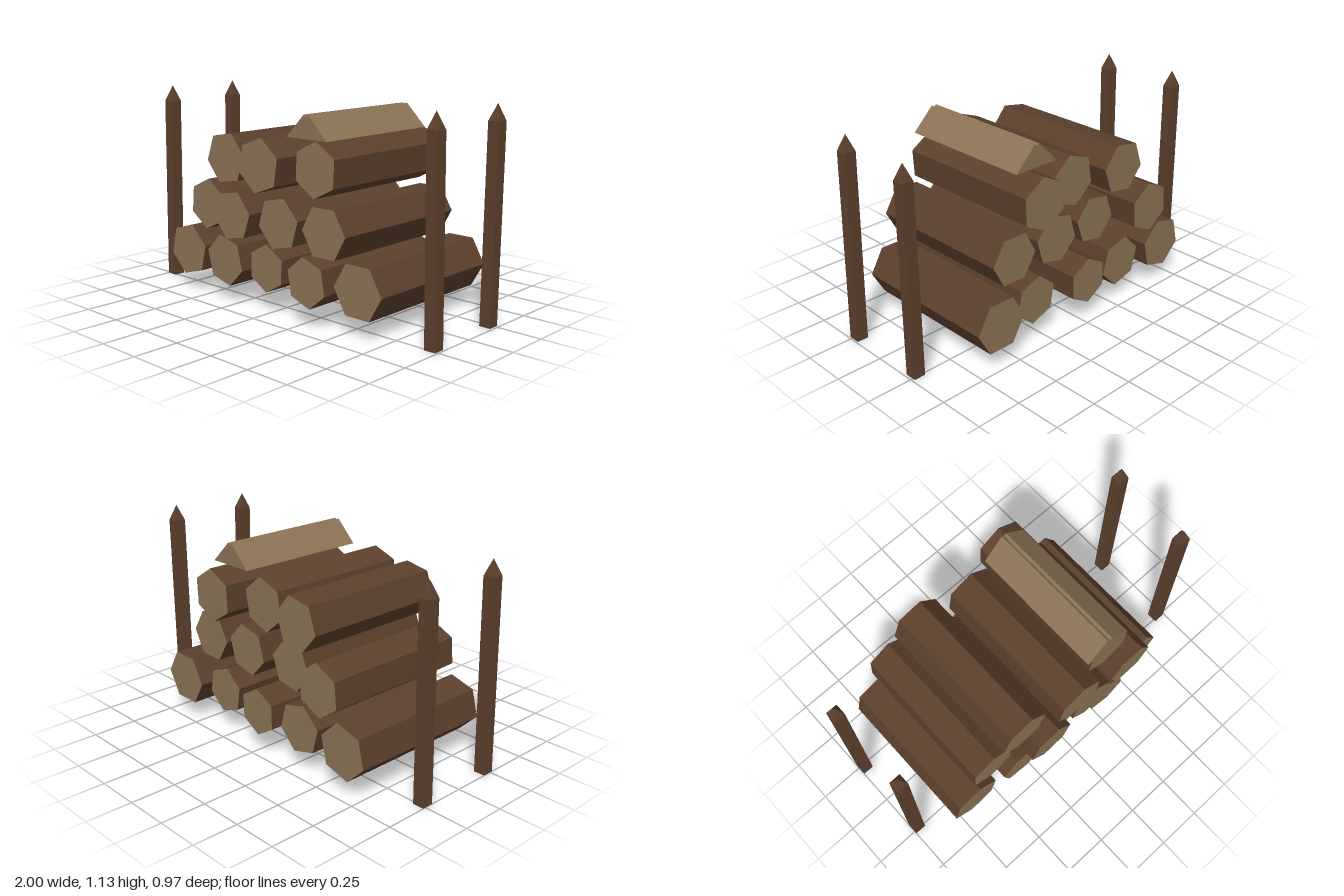
import * as THREE from 'three';

const bark = new THREE.MeshStandardMaterial({ color: 0x5c402d, flatShading: true });
bark.name = 'bark brown';
const cutWood = new THREE.MeshStandardMaterial({ color: 0x8b7355, flatShading: true });
cutWood.name = 'cut wood';

const LOG_LENGTH = 0.855;

// Hexagonal log along z, with pale sawn ends
function makeLog([x, y, radius, turn, frontZ]) {
  const geo = new THREE.CylinderGeometry(radius, radius, LOG_LENGTH, 6);
  geo.rotateX(Math.PI / 2);
  geo.rotateZ(THREE.MathUtils.degToRad(turn - 30));
  const log = new THREE.Mesh(geo, [bark, cutWood, cutWood]);
  log.name = 'log';
  log.position.set(x, y, frontZ - LOG_LENGTH / 2);
  return log;
}

// Square post with a pointed top, leaning slightly sideways
function makeStake(bottomX, topX, z) {
  const stake = new THREE.Group();
  stake.name = 'stake';
  const r = 0.064 / Math.SQRT2;
  const bodyHeight = 1.045, tipHeight = 0.087;
  const body = new THREE.Mesh(
    new THREE.CylinderGeometry(r, r, bodyHeight, 4).rotateY(Math.PI / 4).translate(0, bodyHeight / 2, 0), bark);
  body.name = 'stakePost';
  const tip = new THREE.Mesh(
    new THREE.ConeGeometry(r, tipHeight, 4, 1, true).rotateY(Math.PI / 4).translate(0, bodyHeight + tipHeight / 2, 0), bark);
  tip.name = 'stakePoint';
  stake.add(body, tip);
  stake.position.set(bottomX, 0, z);
  stake.rotation.z = -Math.atan2(topX - bottomX, bodyHeight);
  return stake;
}

export function createModel() {
  const model = new THREE.Group();
  model.name = 'woodpile';

  // Each log: x, y, radius, turn in degrees, z of the front end
  const rows = {
    bottomRow: [
      [-0.645, 0.235, 0.151, 16, 0.39],
      [-0.315, 0.235, 0.142, 45, 0.41],
      [-0.024, 0.238, 0.131, 29, 0.38],
      [0.313, 0.238, 0.134, 40, 0.43],
      [0.604, 0.238, 0.152, 0, 0.375],
    ],
    middleRow: [
      [-0.495, 0.516, 0.143, 25, 0.37],
      [-0.174, 0.516, 0.138, 10, 0.48],
      [0.144, 0.518, 0.142, 13, 0.455],
      [0.447, 0.516, 0.142, 1, 0.447],
    ],
    topRow: [
      [-0.302, 0.797, 0.145, 10, 0.405],
      [0.017, 0.8, 0.147, 20, 0.468],
      [0.318, 0.8, 0.146, 27, 0.37],
    ],
  };
  for (const [name, logs] of Object.entries(rows)) {
    const row = new THREE.Group();
    row.name = name;
    logs.forEach((l) => row.add(makeLog(l)));
    model.add(row);
  }

  // Split piece lying on top: a wedge with a small notch along its ridge
  const profile = new THREE.Shape([
    [0.142, 0.952], [0.414, 0.952], [0.291, 1.073], [0.278, 1.06], [0.263, 1.073],
  ].map(([x, y]) => new THREE.Vector2(x, y)));
  const splitGeo = new THREE.ExtrudeGeometry(profile, { depth: 0.776, bevelEnabled: false });
  splitGeo.translate(0, 0, -0.388);
  const split = new THREE.Mesh(splitGeo, cutWood);
  split.name = 'splitLog';
  model.add(split);

  // Corner stakes: bottom x, top x, z
  [
    [-0.968, -0.95, 0.232],
    [-0.968, -0.955, -0.235],
    [0.96, 0.945, 0.232],
    [0.955, 0.965, -0.235],
  ].forEach((s) => model.add(makeStake(...s)));

  return model;
}
